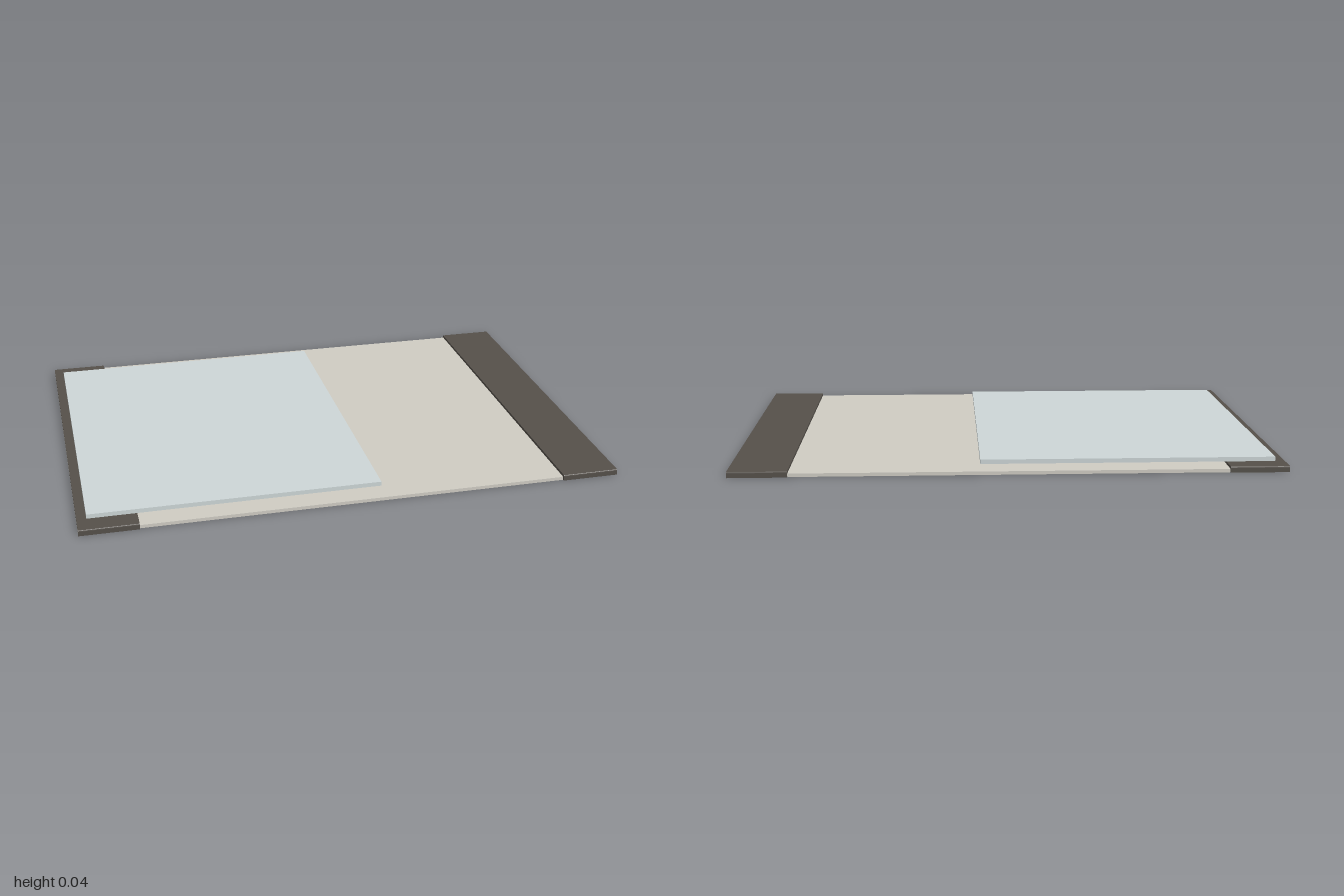
import * as THREE from 'three';

const material = (color) => new THREE.MeshStandardMaterial({ color });

// Box given by its lower and upper corners
function slab(name, mat, [x0, y0, z0], [x1, y1, z1]) {
  const mesh = new THREE.Mesh(new THREE.BoxGeometry(x1 - x0, y1 - y0, z1 - z0), mat);
  mesh.position.set((x0 + x1) / 2, (y0 + y1) / 2, (z0 + z1) / 2);
  mesh.name = name;
  return mesh;
}

// Shallow channel that caps the base along one end, with softened top corners
function endBand(name, mat, x0, width) {
  const outer = 0.718, inner = 0.711, top = 0.022, under = 0.0125, r = 0.005;
  const s = new THREE.Shape();
  s.moveTo(-outer, 0);
  s.lineTo(-inner, 0);
  s.lineTo(-inner, under);
  s.lineTo(inner, under);
  s.lineTo(inner, 0);
  s.lineTo(outer, 0);
  s.lineTo(outer, top - r);
  s.quadraticCurveTo(outer, top, outer - r, top);
  s.lineTo(-outer + r, top);
  s.quadraticCurveTo(-outer, top, -outer, top - r);
  const geo = new THREE.ExtrudeGeometry(s, { depth: width, bevelEnabled: false, curveSegments: 3 });
  geo.rotateY(Math.PI / 2);
  const mesh = new THREE.Mesh(geo, mat);
  mesh.position.x = x0;
  mesh.name = name;
  return mesh;
}

export function createModel() {
  const model = new THREE.Group();
  model.name = 'flatPanel';
  const dark = material(0x55504a);

  // Thin full-length base
  model.add(slab('basePlate', material(0xcfccc3), [-1, 0, -0.711], [1, 0.0125, 0.711]));

  // Dark bands over both ends
  model.add(endBand('rightBand', dark, -1, 0.213));
  model.add(endBand('leftBand', dark, 0.787, 0.213));

  // Pale sheet lying on the right-hand band
  model.add(slab('topSheet', material(0xcdd6d7), [-0.965, 0.022, -0.64], [0.105, 0.038, 0.64]));
  return model;
}
